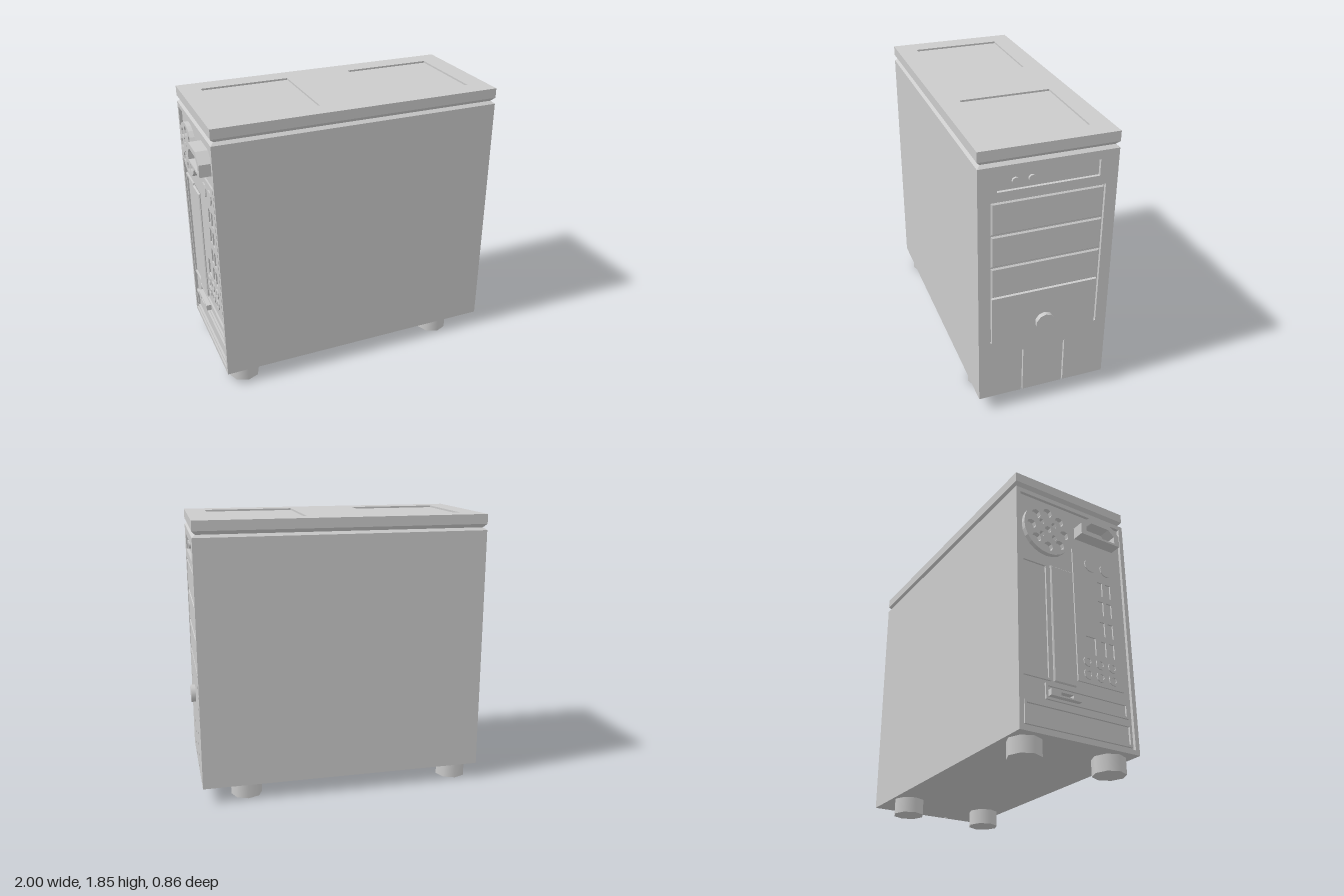
import * as THREE from 'three';

const grey = new THREE.MeshStandardMaterial({ color: 0xcccccc });

function add(parent, name, geometry, x = 0, y = 0, z = 0) {
  const mesh = new THREE.Mesh(geometry, grey);
  mesh.name = name;
  mesh.position.set(x, y, z);
  parent.add(mesh);
  return mesh;
}

const poly = (pts) => new THREE.Shape(pts.map(([x, y]) => new THREE.Vector2(x, y)));
const rect = (x0, y0, x1, y1) => poly([[x0, y0], [x1, y0], [x1, y1], [x0, y1]]);

function disc(x, y, r, sides) {
  const pts = [];
  for (let i = 0; i < sides; i++) {
    const a = (i / sides) * Math.PI * 2;
    pts.push([x + r * Math.cos(a), y + r * Math.sin(a)]);
  }
  return poly(pts);
}

function plate(shape, depth, holes = []) {
  shape.holes.push(...holes);
  return new THREE.ExtrudeGeometry(shape, { depth, bevelEnabled: false, curveSegments: 8 });
}

// Plate whose outer edge slopes inward toward its face
function bevelled(shape, depth, b) {
  const g = new THREE.ExtrudeGeometry(shape, {
    depth: depth - 2 * b, bevelEnabled: true, bevelThickness: b, bevelSize: b, bevelOffset: -b, bevelSegments: 1,
  });
  return g.translate(0, 0, b);
}

// Box whose top (sign 1) or bottom (sign -1) face is inset evenly
function taperedBox(w, h, d, inset, sign) {
  const g = new THREE.BoxGeometry(w, h, d).toNonIndexed();
  const p = g.attributes.position;
  for (let i = 0; i < p.count; i++) {
    if (p.getY(i) * sign > 0) {
      p.setX(i, p.getX(i) - Math.sign(p.getX(i)) * inset);
      p.setZ(i, p.getZ(i) - Math.sign(p.getZ(i)) * inset);
    }
  }
  g.computeVertexNormals();
  return g;
}

const W = 1.91, D = 0.86, CX = 0.015, Z = 0.43, BOTTOM = 0.105, TOP = 1.745;

function buildShell(model) {
  add(model, 'caseBody', new THREE.BoxGeometry(1.87, TOP - BOTTOM, D), CX, (TOP + BOTTOM) / 2, 0);
  add(model, 'bodyChamfer', taperedBox(W, 0.017, D, 0.022, 1), CX, TOP + 0.0085, 0);
  add(model, 'lidUnderside', taperedBox(W, 0.024, D, 0.022, -1), CX, 1.774, 0);
  add(model, 'lid', new THREE.BoxGeometry(W, 0.052, D), CX, 1.812, 0);
  // Lid surface with two shallow square trays
  const lidTop = plate(rect(-0.94, -Z, 0.97, Z), 0.012,
    [rect(-0.805, -0.295, -0.21, 0.3), rect(0.235, -0.295, 0.835, 0.3)]);
  add(model, 'lidTrays', lidTop.rotateX(-Math.PI / 2), 0, 1.838, 0);
  for (const x of [-0.795, 0.67]) {
    for (const z of [-0.305, 0.305]) {
      add(model, 'foot', new THREE.CylinderGeometry(0.105, 0.105, BOTTOM, 8), x, BOTTOM / 2, z);
    }
  }
}

function buildDrivePanel(model) {
  const panel = new THREE.Group();
  panel.name = 'drivePanel';
  panel.position.x = 0.95;
  panel.rotation.y = Math.PI / 2;
  model.add(panel);

  // Surround, open at the bottom for the lower cover
  const surround = poly([[-Z, BOTTOM], [-0.147, BOTTOM], [-0.147, 0.438], [-0.357, 0.54], [-0.357, 1.528],
    [0.357, 1.528], [0.357, 0.54], [0.147, 0.438], [0.147, BOTTOM], [Z, BOTTOM], [Z, TOP], [-Z, TOP]]);
  add(panel, 'panelSurround', plate(surround, 0.02, [rect(-0.315, 1.585, 0.315, 1.69)]));
  for (const x of [-0.2, -0.1]) {
    add(panel, 'slotButton', new THREE.CylinderGeometry(0.022, 0.022, 0.014, 12).rotateX(Math.PI / 2), x, 1.635, 0.007);
  }
  // Drive bay covers
  for (const y of [1.308, 1.09, 0.872]) {
    add(panel, 'bayCover', bevelled(rect(-0.349, y, 0.349, y + 0.208), 0.018, 0.008));
  }
  const lower = poly([[-0.134, BOTTOM], [0.134, BOTTOM], [0.134, 0.429], [0.345, 0.531],
    [0.345, 0.864], [-0.345, 0.864], [-0.345, 0.531], [-0.134, 0.429]]);
  add(panel, 'lowerCover', plate(lower, 0.02));
  add(panel, 'powerButton', new THREE.CylinderGeometry(0.062, 0.062, 0.04, 10).rotateX(Math.PI / 2), 0, 0.63, 0.03);
}

function buildRearPanel(model) {
  const panel = new THREE.Group();
  panel.name = 'rearPanel';
  panel.position.x = -0.92;
  panel.rotation.y = -Math.PI / 2;
  model.add(panel);

  const frame = (name, x0, y0, x1, y1, t, depth) =>
    add(panel, name, plate(rect(x0, y0, x1, y1), depth, [rect(x0 + t, y0 + t, x1 - t, y1 - t)]));
  frame('rearRim', -Z, BOTTOM, Z, TOP, 0.03, 0.02);

  // Fan grille
  const vents = [disc(-0.2, 1.49, 0.025, 8)];
  for (let i = 0; i < 8; i++) {
    const a = (i / 8) * Math.PI * 2;
    vents.push(disc(-0.2 + 0.125 * Math.cos(a), 1.49 + 0.125 * Math.sin(a), 0.033, 8));
    if (i % 2) vents.push(disc(-0.2 + 0.066 * Math.cos(a), 1.49 + 0.066 * Math.sin(a), 0.02, 6));
  }
  add(panel, 'fanGrille', plate(disc(-0.2, 1.49, 0.18, 24), 0.03, vents));

  // Arched carrying handle
  const arch = poly([[0.03, 1.52], [0.34, 1.52], [0.34, 1.6], [0.27, 1.66], [0.1, 1.66], [0.03, 1.6]]);
  const grip = poly([[0.07, 1.535], [0.3, 1.535], [0.3, 1.585], [0.255, 1.625], [0.115, 1.625], [0.07, 1.585]]);
  add(panel, 'handle', plate(arch, 0.08, [grip]));

  // Connector plate with sockets
  const sockets = [rect(0.075, 0.7, 0.15, 0.82)];
  for (const x of [0.21, 0.275]) {
    for (const y of [0.76, 0.9, 1.05, 1.19]) sockets.push(rect(x - 0.02, y - 0.05, x + 0.02, y + 0.05));
  }
  add(panel, 'connectorPlate', plate(rect(0, 0.5, 0.35, 1.43), 0.01, sockets));
  for (const x of [0.14, 0.265]) {
    add(panel, 'roundPort', plate(disc(x, 1.345, 0.048, 12), 0.018));
  }
  for (const x of [0.08, 0.175, 0.27]) {
    for (const y of [0.56, 0.645]) {
      add(panel, 'audioJack', plate(disc(x, y, 0.036, 10), 0.018, [disc(x, y, 0.02, 8)]));
    }
  }

  // Expansion covers, lower vent strip and base cover
  frame('expansionFrame', -0.395, 0.45, -0.2, 1.24, 0.015, 0.012);
  add(panel, 'expansionCover', bevelled(rect(-0.18, 0.45, -0.02, 1.24), 0.018, 0.006));
  frame('socketStrip', -0.24, 0.33, 0.37, 0.43, 0.015, 0.012);
  add(panel, 'powerSocket', plate(rect(-0.22, 0.35, 0, 0.39), 0.035, [rect(-0.15, 0.36, -0.06, 0.38)]));
  frame('baseCover', -0.39, 0.15, 0.385, 0.295, 0.015, 0.014);
}

export function createModel() {
  const model = new THREE.Group();
  model.name = 'computerTower';
  buildShell(model);
  buildDrivePanel(model);
  buildRearPanel(model);
  return model;
}
